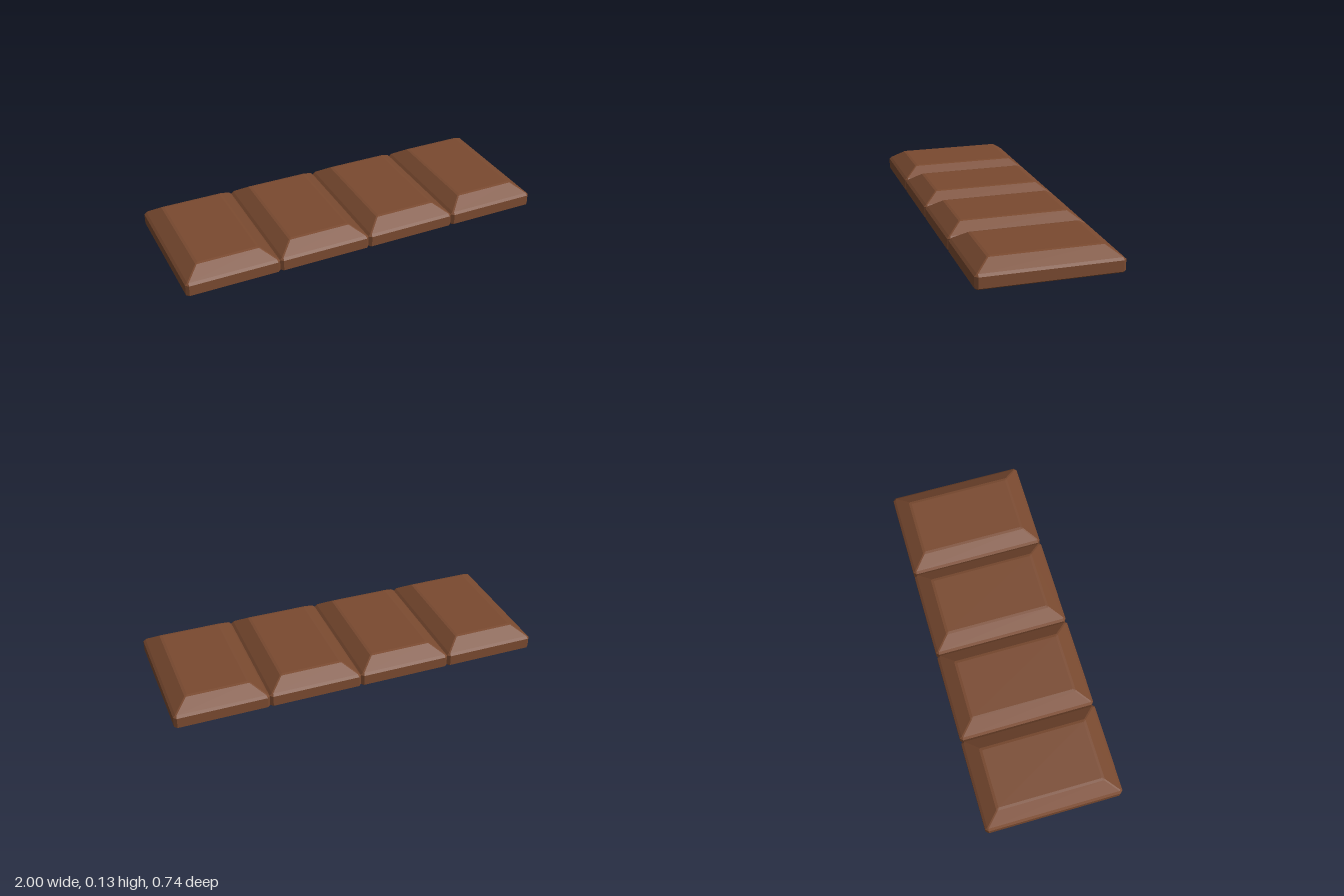
import * as THREE from 'three';

const HALF_X = 0.25, HALF_Z = 0.372;

// Horizontal rings of one block, bottom to top: [height, inset, corner chamfer]
const RINGS = [
  [0, 0.01, 0.006],
  [0.008, 0, 0.015],
  [0.065, 0, 0.015],
  [0.077, 0.012, 0.006],
  [0.126, 0.08, 0.006],
  [0.129, 0.094, 0.003],
];

// Rectangle with cut corners, counter-clockwise seen from above
function ring([y, inset, c]) {
  const x = HALF_X - inset, z = HALF_Z - inset;
  return [
    [x, z - c], [x, c - z], [x - c, -z], [c - x, -z],
    [-x, c - z], [-x, z - c], [c - x, z], [x - c, z],
  ].map(([px, pz]) => new THREE.Vector3(px, y, pz));
}

function blockGeometry() {
  const rings = RINGS.map(ring);
  const points = [];
  // Sides, joining each ring to the next
  for (let r = 0; r < rings.length - 1; r++) {
    const low = rings[r], high = rings[r + 1];
    for (let i = 0; i < 8; i++) {
      const j = (i + 1) % 8;
      points.push(low[i], low[j], high[j], low[i], high[j], high[i]);
    }
  }
  // Flat underside and top
  const bottom = rings[0], top = rings[rings.length - 1];
  for (let i = 1; i < 7; i++) {
    points.push(top[0], top[i], top[i + 1]);
    points.push(bottom[0], bottom[i + 1], bottom[i]);
  }
  const geometry = new THREE.BufferGeometry().setFromPoints(points);
  geometry.computeVertexNormals();
  return geometry;
}

export function createModel() {
  const bar = new THREE.Group();
  bar.name = 'chocolateBar';
  const chocolate = new THREE.MeshStandardMaterial({ color: 0x7a4a30, flatShading: true });
  const geometry = blockGeometry();

  // Four blocks side by side
  for (let i = 0; i < 4; i++) {
    const block = new THREE.Mesh(geometry, chocolate);
    block.name = `chocolateBlock${i + 1}`;
    block.position.x = (i - 1.5) * 2 * HALF_X;
    bar.add(block);
  }
  return bar;
}
